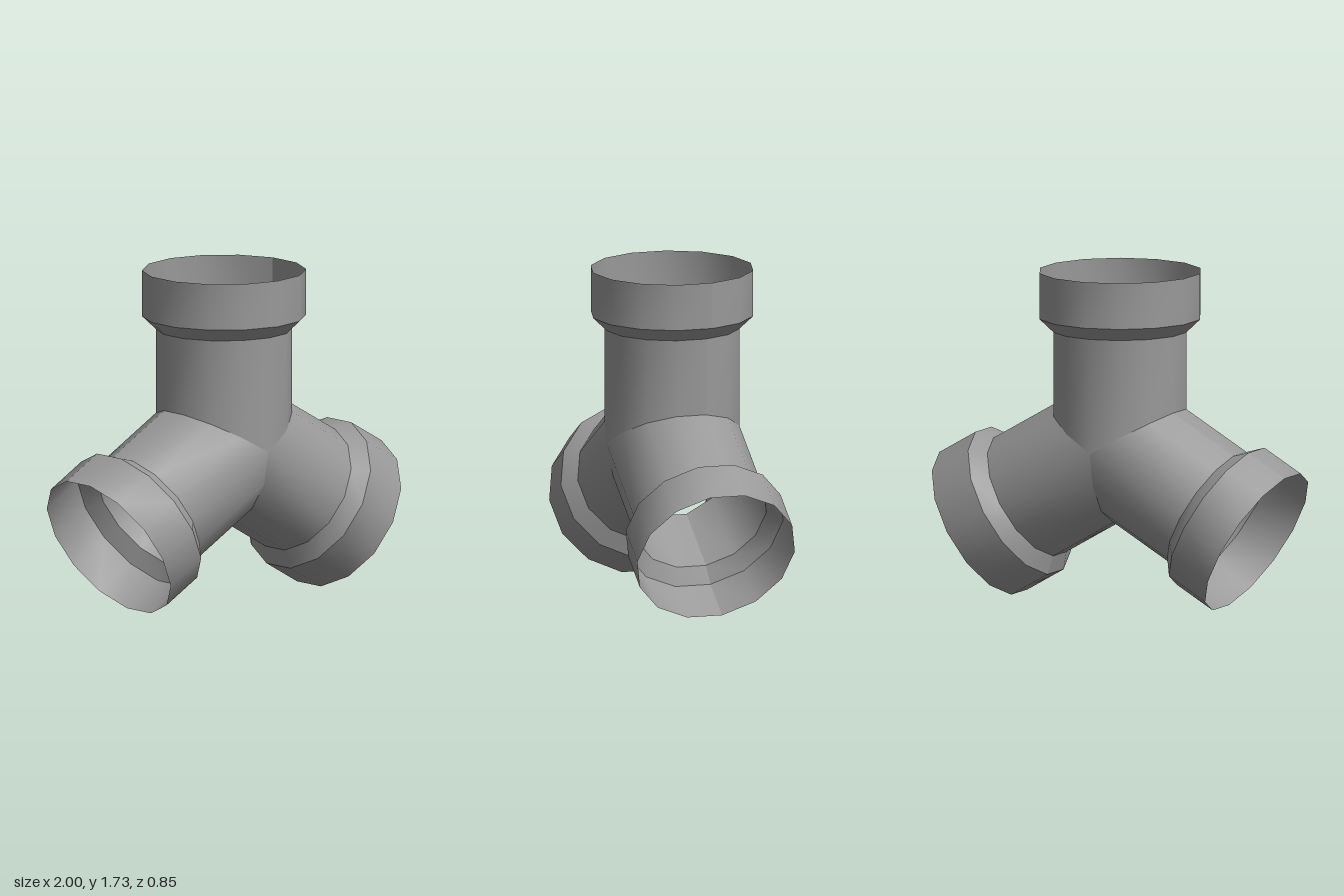
import * as THREE from 'three';

const SIDES = 14;
const PIPE = 0.354;    // radius of each branch
const SOCKET = 0.427;  // radius of each end socket
const CENTRE_Y = 0.818;

// One smooth band of tube between two rings; each ring is { r, y(x) }.
function band(low, high) {
  const positions = [];
  const index = [];
  for (let i = 0; i <= SIDES; i++) {
    const a = ((2 * i - 1) * Math.PI) / SIDES;
    for (const ring of [low, high]) {
      const x = ring.r * Math.cos(a);
      positions.push(x, ring.y(x), ring.r * Math.sin(a));
    }
    if (i < SIDES) {
      const k = i * 2;
      index.push(k, k + 1, k + 2, k + 2, k + 1, k + 3);
    }
  }
  const geometry = new THREE.BufferGeometry();
  geometry.setAttribute('position', new THREE.Float32BufferAttribute(positions, 3));
  geometry.setIndex(index);
  geometry.computeVertexNormals();
  return geometry;
}

export function createModel() {
  const grey = new THREE.MeshStandardMaterial({ color: 0x999999, side: THREE.DoubleSide });
  grey.name = 'pipe grey';

  // Rings from the mitred joint out to the open end
  const rings = [
    { r: PIPE, y: (x) => Math.abs(x) * Math.tan(Math.PI / 6) },
    { r: PIPE, y: () => 0.602 },
    { r: SOCKET, y: () => 0.672 },
    { r: SOCKET, y: () => 0.914 },
  ];
  const parts = ['pipe', 'taper', 'socket'].map((name, i) => ({
    name,
    geometry: band(rings[i], rings[i + 1]),
  }));

  const model = new THREE.Group();
  model.name = 'threeWayPipeJoint';

  // Three equal branches, 120 degrees apart
  ['topBranch', 'rightBranch', 'leftBranch'].forEach((name, i) => {
    const branch = new THREE.Group();
    branch.name = name;
    for (const part of parts) {
      const mesh = new THREE.Mesh(part.geometry, grey);
      mesh.name = part.name;
      branch.add(mesh);
    }
    branch.position.y = CENTRE_Y;
    branch.rotation.z = (i * 2 * Math.PI) / 3;
    model.add(branch);
  });
  return model;
}
